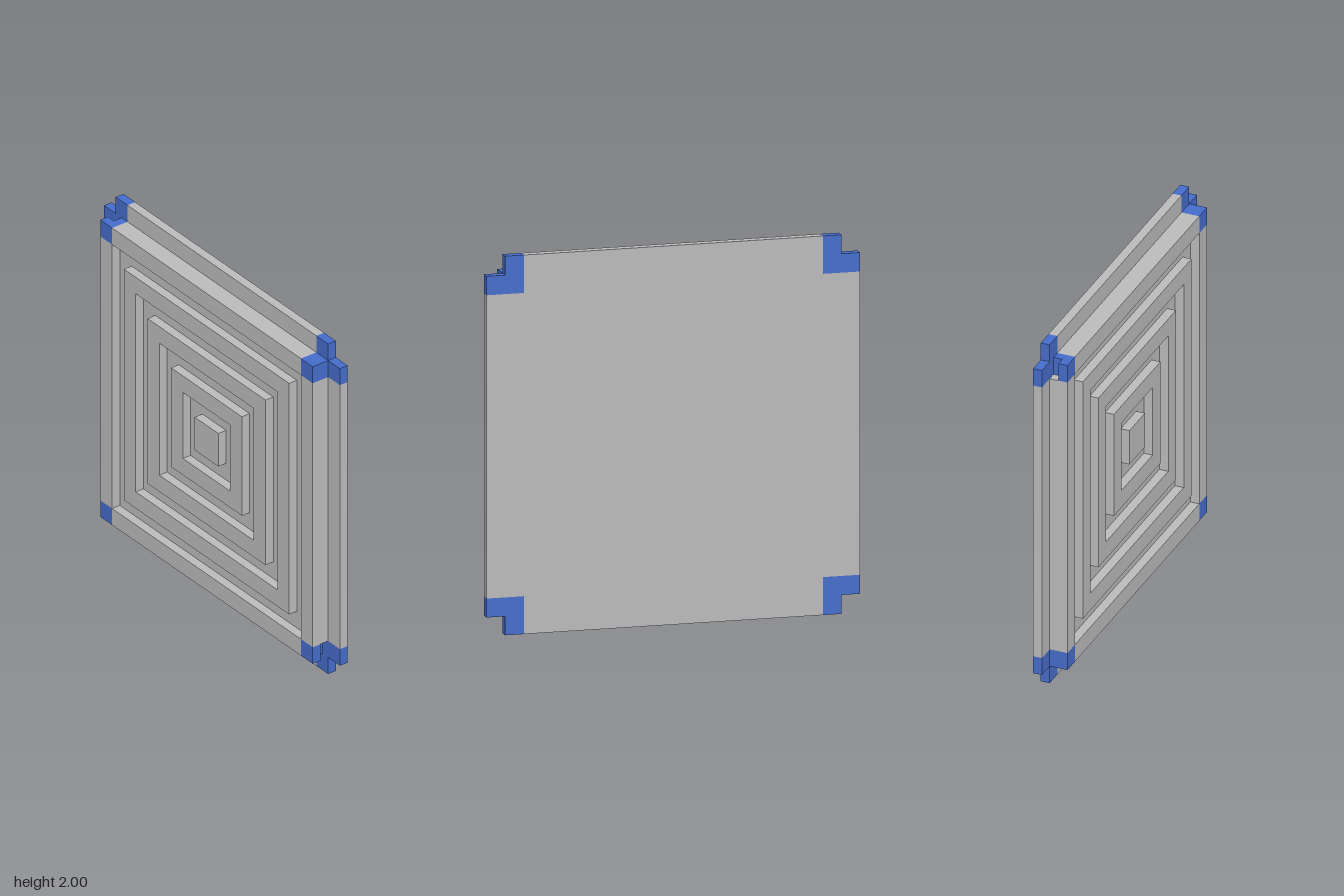
import * as THREE from 'three';

export function createModel() {
  const root = new THREE.Group();
  root.name = 'steppedPanel';

  const grey = new THREE.MeshStandardMaterial({ color: 0xbababa });
  grey.name = 'light grey';
  const blue = new THREE.MeshStandardMaterial({ color: 0x456cca });
  blue.name = 'corner blue';

  // Depth levels, back to front
  const BACK = -0.075, PLATE = -0.025, FLOOR = 0.025, FRONT = 0.075;

  // Box given by its limits; y is measured from the panel's centre
  function box(name, x0, x1, y0, y1, z0, z1, mat = grey, parent = root) {
    const mesh = new THREE.Mesh(new THREE.BoxGeometry(x1 - x0, y1 - y0, z1 - z0), mat);
    mesh.position.set((x0 + x1) / 2, (y0 + y1) / 2 + 1, (z0 + z1) / 2);
    mesh.name = name;
    parent.add(mesh);
  }

  // Square outline with the given half width
  function square(path, h) {
    path.moveTo(-h, -h);
    path.lineTo(h, -h);
    path.lineTo(h, h);
    path.lineTo(-h, h);
    path.closePath();
    return path;
  }

  // Back plate, with its corners left free
  box('backPlate', -0.8, 0.8, -1, 1, BACK, PLATE);
  for (const s of [-1, 1]) {
    box('backPlateSide', Math.min(s * 0.8, s), Math.max(s * 0.8, s), -0.8, 0.8, BACK, PLATE);
  }

  // Recessed floor inside the frame
  box('floor', -0.8, 0.8, -0.8, 0.8, PLATE, FLOOR);

  // Outer frame rails
  for (const s of [-1, 1]) {
    const a = Math.min(s * 0.8, s * 0.9), b = Math.max(s * 0.8, s * 0.9);
    box('sideRail', a, b, -0.8, 0.8, PLATE, FRONT);
    box('crossRail', -0.8, 0.8, a, b, PLATE, FRONT);
  }

  // Concentric raised square rings and the centre block
  for (const h of [0.7, 0.5, 0.3]) {
    const shape = square(new THREE.Shape(), h);
    shape.holes.push(square(new THREE.Path(), h - 0.1));
    const geo = new THREE.ExtrudeGeometry(shape, { depth: FRONT - FLOOR, bevelEnabled: false });
    const ring = new THREE.Mesh(geo, grey);
    ring.position.set(0, 1, FLOOR);
    ring.name = 'raisedRing';
    root.add(ring);
  }
  box('centreBlock', -0.1, 0.1, -0.1, 0.1, FLOOR, FRONT);

  // Blue corners: stepped back piece and a frame post in front
  for (const sx of [-1, 1]) {
    for (const sy of [-1, 1]) {
      const corner = new THREE.Group();
      corner.name = 'corner';
      root.add(corner);
      const part = (name, x0, x1, y0, y1, z0, z1) => box(name,
        Math.min(sx * x0, sx * x1), Math.max(sx * x0, sx * x1),
        Math.min(sy * y0, sy * y1), Math.max(sy * y0, sy * y1), z0, z1, blue, corner);
      part('cornerFlange', 0.8, 1, 0.8, 0.9, BACK, PLATE);
      part('cornerTab', 0.8, 0.9, 0.9, 1, BACK, PLATE);
      // Two opposite posts have a slot behind the front lip
      const slotted = sx !== sy;
      part('cornerPost', 0.8, slotted ? 0.85 : 0.9, 0.8, 0.9, PLATE, FLOOR);
      part('cornerLip', 0.8, 0.9, 0.8, 0.9, FLOOR, FRONT);
    }
  }

  return root;
}
